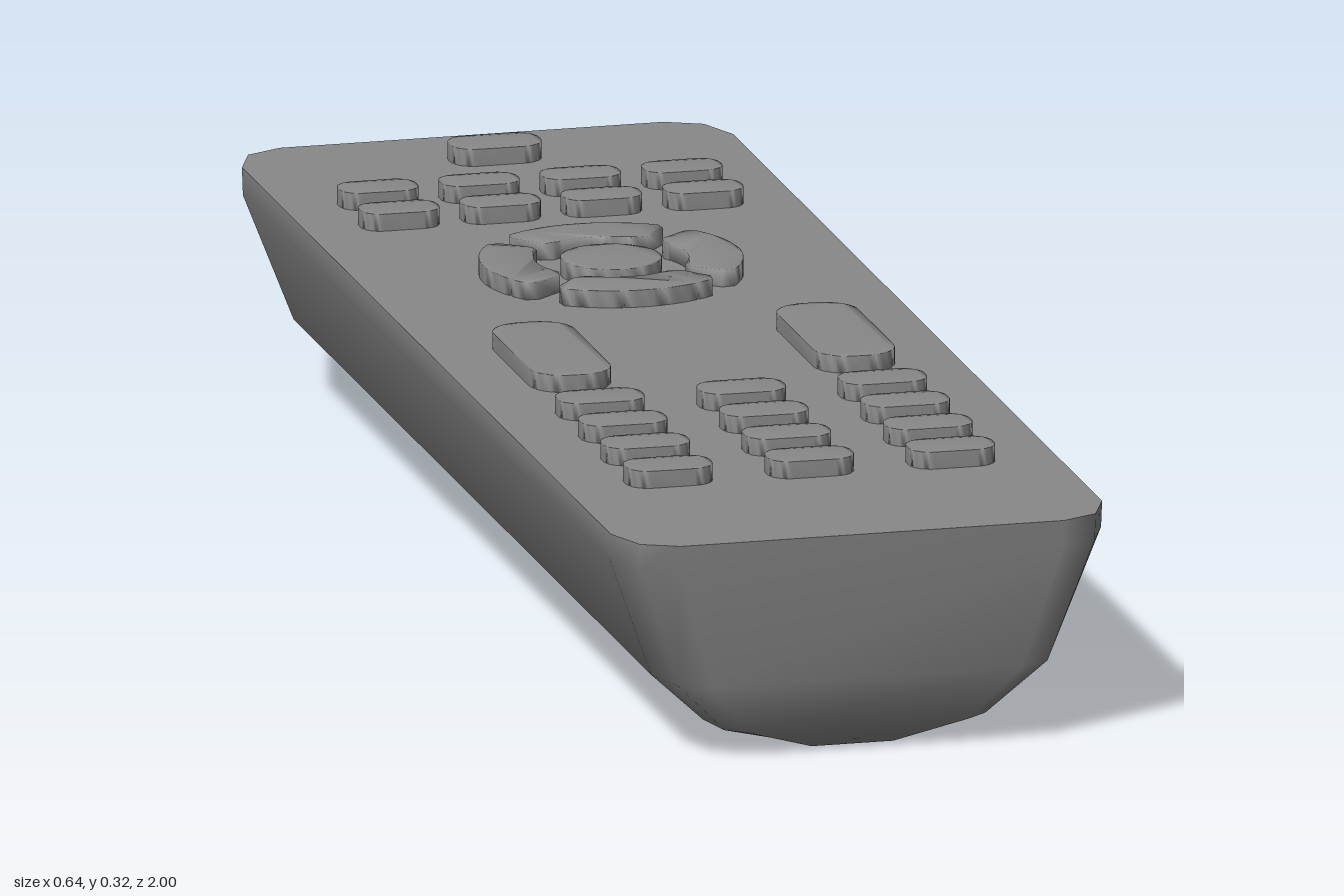
import * as THREE from 'three';
import { mergeVertices } from 'three/addons/utils/BufferGeometryUtils.js';

const TOP = 0.3;      // height of the key face
const RISE = 0.022;   // how far the keys stand out

const grey = new THREE.MeshStandardMaterial({ color: 0x888888 });
grey.name = 'grey plastic';

// Rectangle outline with clipped, rounded corners, counterclockwise from above
function ring(hw, hl, y) {
  const cx = hw * 0.22, cz = 0.08;
  const corner = [[hw, hl - cz], [hw - cx * 0.33, hl - cz * 0.28], [hw - cx, hl]];
  const back = [...corner].reverse();
  return [
    ...corner.map(([x, z]) => [x, y, -z]),
    ...back.map(([x, z]) => [-x, y, -z]),
    ...corner.map(([x, z]) => [-x, y, z]),
    ...back.map(([x, z]) => [x, y, z]),
  ];
}

function geometryFrom(points, index) {
  const g = new THREE.BufferGeometry();
  g.setAttribute('position', new THREE.Float32BufferAttribute(points.flat(), 3));
  g.setIndex(index);
  g.computeVertexNormals();
  return g;
}

// Boat-shaped shell lofted from the rim down to the narrow underside
function shellGeometry() {
  const sections = [ // half width, half length, height
    [0.32, 1, TOP], [0.32, 0.995, 0.265], [0.26, 0.972, 0.105],
    [0.183, 0.935, 0.032], [0.068, 0.9, 0],
  ];
  const rings = sections.map((s) => ring(...s));
  const n = rings[0].length, index = [];
  for (let r = 0; r < rings.length - 1; r++) {
    for (let i = 0; i < n; i++) {
      const j = (i + 1) % n;
      const a = r * n + i, b = r * n + j, c = a + n, d = b + n;
      index.push(c, d, b, c, b, a);
    }
  }
  const base = (rings.length - 1) * n;
  for (let i = 1; i < n - 1; i++) index.push(base, base + i + 1, base + i);
  return geometryFrom(rings.flat(), index);
}

function faceGeometry() {
  const points = ring(0.32, 1, TOP), index = [];
  for (let i = 1; i < points.length - 1; i++) index.push(0, i, i + 1);
  return geometryFrom(points, index);
}

// Key with softly blended normals, extruded upwards from a flat outline
function keyGeometry(shape, curveSegments = 4) {
  const g = new THREE.ExtrudeGeometry(shape, { depth: RISE + 0.005, bevelEnabled: false, curveSegments });
  g.rotateX(-Math.PI / 2);
  g.deleteAttribute('normal');
  g.deleteAttribute('uv');
  const smooth = mergeVertices(g, 1e-4);
  smooth.computeVertexNormals();
  return smooth;
}

function pillShape(w, l) {
  const r = Math.min(w, l) * 0.42, x = w / 2, y = l / 2;
  const s = new THREE.Shape();
  s.moveTo(-x + r, -y);
  s.lineTo(x - r, -y);
  s.absarc(x - r, -y + r, r, -Math.PI / 2, 0);
  s.lineTo(x, y - r);
  s.absarc(x - r, y - r, r, 0, Math.PI / 2);
  s.lineTo(-x + r, y);
  s.absarc(-x + r, y - r, r, Math.PI / 2, Math.PI);
  s.lineTo(-x, -y + r);
  s.absarc(-x + r, -y + r, r, Math.PI, Math.PI * 1.5);
  return s;
}

// Curved direction key with slightly rounded corners
function arcShape(inner, outer, half) {
  const s = new THREE.Shape(), cut = 0.012;
  const trim = (r) => half - cut / r;
  const at = (r, a) => [r * Math.cos(a), r * Math.sin(a)];
  s.moveTo(...at(outer, -trim(outer)));
  s.absarc(0, 0, outer, -trim(outer), trim(outer));
  s.lineTo(...at(outer - cut, half));
  s.lineTo(...at(inner + cut, half));
  s.lineTo(...at(inner, trim(inner)));
  s.absarc(0, 0, inner, trim(inner), -trim(inner), true);
  s.lineTo(...at(inner + cut, -half));
  s.lineTo(...at(outer - cut, -half));
  s.closePath();
  return s;
}

export function createModel() {
  const model = new THREE.Group();
  model.name = 'remoteControl';

  function add(name, geometry, x = 0, y = 0, z = 0, parent = model) {
    const mesh = new THREE.Mesh(geometry, grey);
    mesh.name = name;
    mesh.position.set(x, y, z);
    parent.add(mesh);
    return mesh;
  }
  function keyGrid(name, geometry, xs, zs) {
    const group = new THREE.Group();
    group.name = name;
    for (const z of zs) for (const x of xs) add('key', geometry, x, TOP - 0.005, z, group);
    model.add(group);
  }

  // Casing
  add('shell', shellGeometry());
  add('keyFace', faceGeometry());

  // Keys
  keyGrid('powerKey', keyGeometry(pillShape(0.118, 0.07)), [0], [-0.885]);
  keyGrid('functionKeys', keyGeometry(pillShape(0.102, 0.06)), [-0.198, -0.066, 0.066, 0.198], [-0.71, -0.605]);
  keyGrid('rockerKeys', keyGeometry(pillShape(0.105, 0.266)), [-0.185, 0.185], [0.108]);
  keyGrid('numberKeys', keyGeometry(pillShape(0.112, 0.068)), [-0.184, 0, 0.184], [0.345, 0.458, 0.571, 0.684]);

  // Direction pad
  const pad = new THREE.Group();
  pad.name = 'directionPad';
  pad.position.set(0, TOP - 0.005, -0.304);
  const disc = new THREE.Shape().absarc(0, 0, 0.064, 0, Math.PI * 2);
  add('centreKey', keyGeometry(disc, 16), 0, 0, 0, pad);
  const arc = keyGeometry(arcShape(0.098, 0.167, 0.69), 8);
  for (let i = 0; i < 4; i++) add('arrowKey', arc, 0, 0, 0, pad).rotation.y = (i * Math.PI) / 2;
  model.add(pad);

  return model;
}
